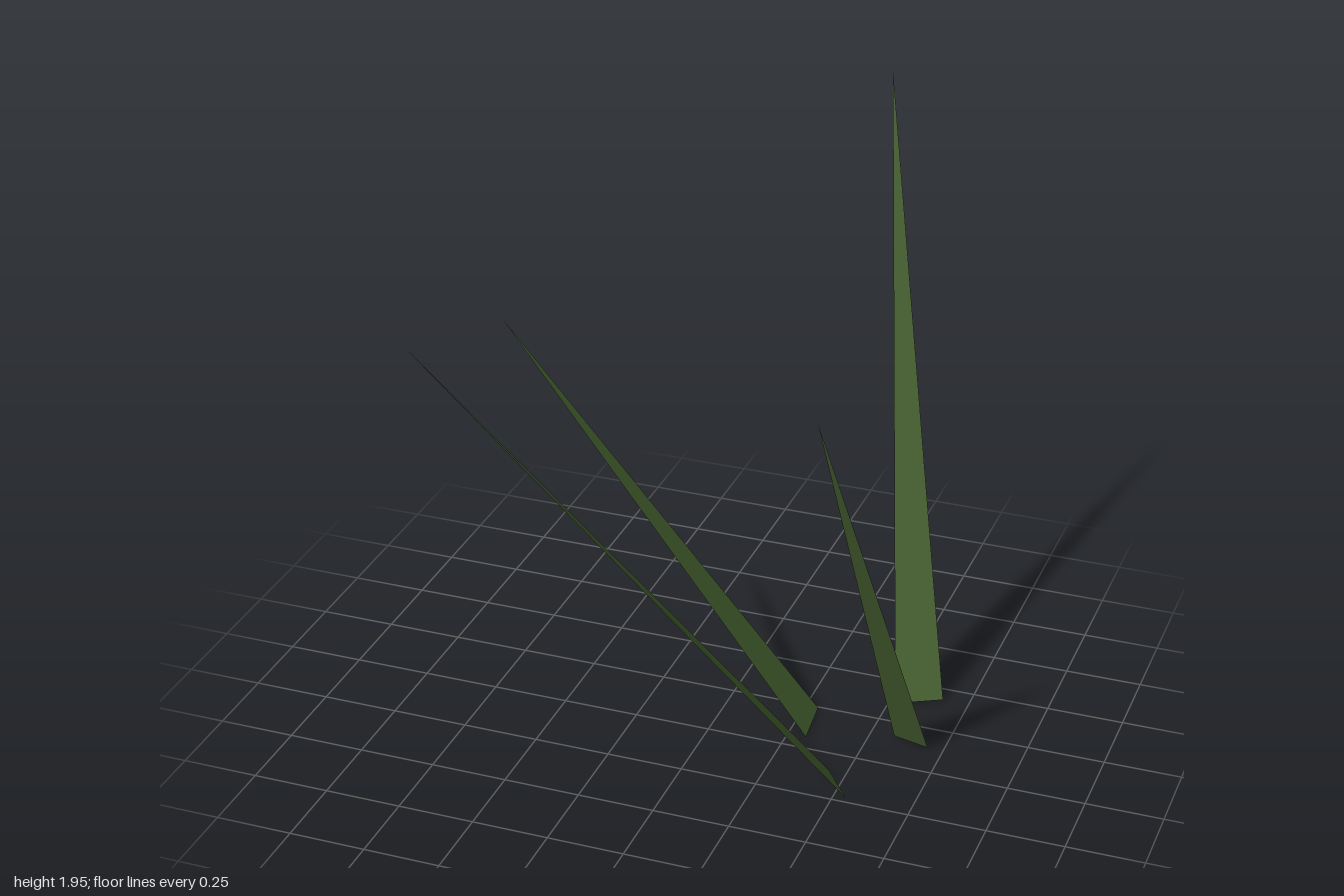
import * as THREE from 'three';

export function createModel() {
  const group = new THREE.Group();
  group.name = 'grassTuft';
  const grassGreen = new THREE.MeshStandardMaterial({ color: 0x486331, side: THREE.DoubleSide });
  grassGreen.name = 'grassGreen';

  // One flat blade: two ground corners [x, z] and a tip [x, y, z]
  function addBlade(name, a, b, tip) {
    const geometry = new THREE.BufferGeometry();
    geometry.setAttribute('position', new THREE.Float32BufferAttribute(
      [a[0], 0, a[1], b[0], 0, b[1], ...tip], 3));
    geometry.computeVertexNormals();
    const blade = new THREE.Mesh(geometry, grassGreen);
    blade.name = name;
    group.add(blade);
  }

  // Corners run so that each blade's front side faces upward
  addBlade('backBlade', [0.522, -0.358], [0.663, -0.433], [0.26, 1.945, -1.0]);
  addBlade('rightBlade', [0.312, -0.063], [0.293, -0.245], [-0.703, 1.333, -0.045]);
  addBlade('frontBlade', [0.543, 0.23], [0.442, 0.095], [-0.54, 1.733, 0.995]);
  addBlade('leftBlade', [0.698, -0.138], [0.577, -0.168], [0.495, 1.405, 0.44]);
  return group;
}
